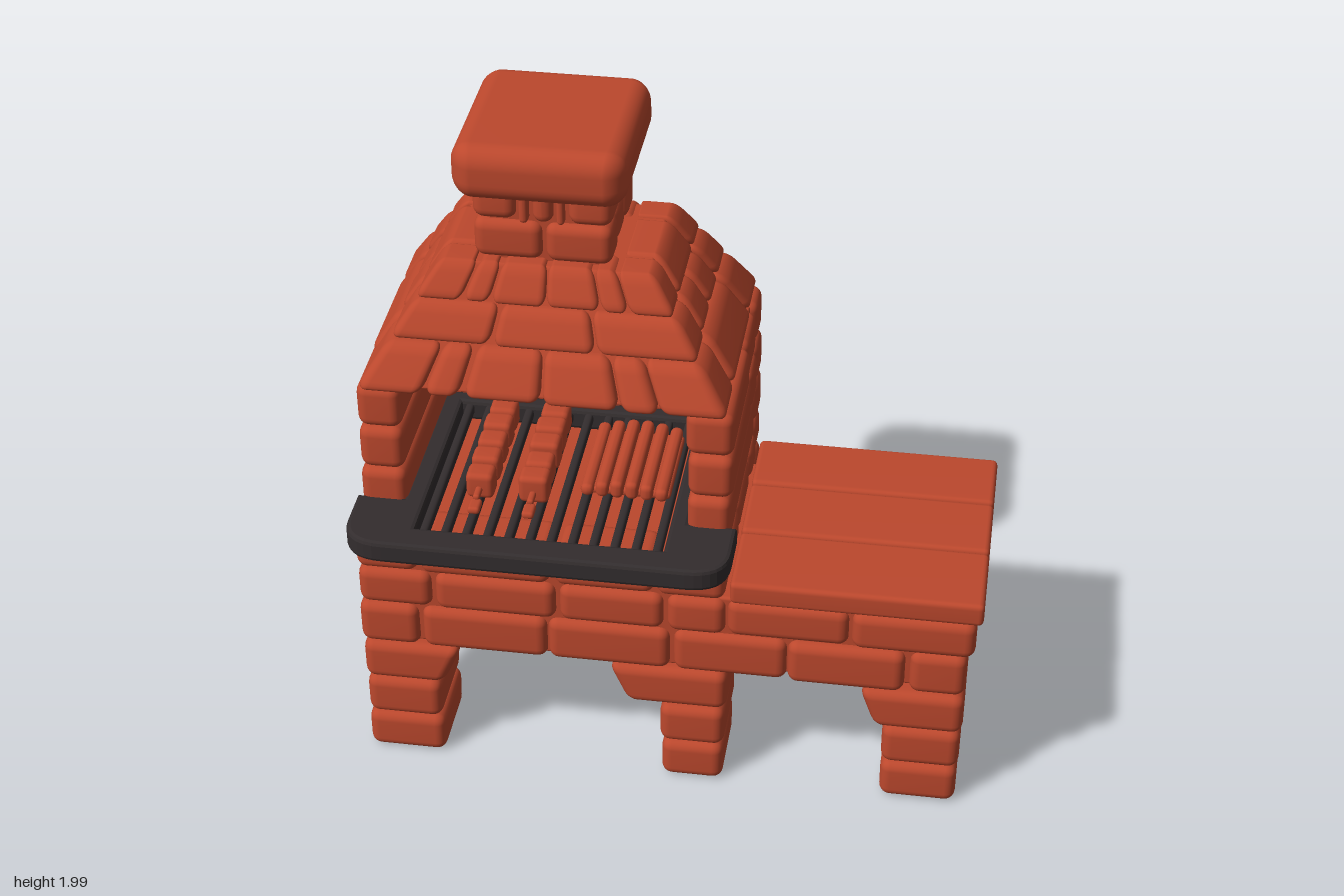
import * as THREE from 'three';
import { mergeGeometries, mergeVertices } from 'three/addons/utils/BufferGeometryUtils.js';
import { RoundedBoxGeometry } from 'three/addons/geometries/RoundedBoxGeometry.js';

const clay = new THREE.MeshStandardMaterial({ color: 0xbc482d });
clay.name = 'brick red';
const iron = new THREE.MeshStandardMaterial({ color: 0x332d2e });
iron.name = 'charcoal iron';

let seed = 7;
const rand = () => ((seed = (seed * 16807) % 2147483647) / 2147483647);

// One soft-edged block between two corners, optionally reshaped by warp(vector)
function block(x0, x1, y0, y1, z0, z1, r = 0.03, warp = null, segments = 2) {
  const w = x1 - x0, h = y1 - y0, d = z1 - z0;
  let g = new RoundedBoxGeometry(w, h, d, segments, Math.min(r, 0.48 * Math.min(w, h, d)));
  g.translate((x0 + x1) / 2, (y0 + y1) / 2, (z0 + z1) / 2);
  g.deleteAttribute('normal');
  g.deleteAttribute('uv');
  g.clearGroups();
  g = mergeVertices(g, 1e-4);
  if (warp) {
    const p = g.attributes.position, v = new THREE.Vector3();
    for (let i = 0; i < p.count; i++) {
      v.fromBufferAttribute(p, i);
      warp(v);
      p.setXYZ(i, v.x, v.y, v.z);
    }
  }
  g.computeVertexNormals();
  return g;
}

// A brick is a block with slightly uneven outer faces
function brick(x0, x1, y0, y1, z0, z1, warp) {
  const j = () => rand() * 0.008;
  return block(x0 + j(), x1 - j(), y0 + 0.001, y1 - 0.001, z0 + j(), z1 - j(), 0.032, warp, 3);
}
const runX = (cuts, y0, y1, z0, z1, warp) =>
  cuts.slice(1).map((x, i) => brick(cuts[i], x, y0, y1, z0, z1, warp));
const runZ = (cuts, y0, y1, x0, x1, warp) =>
  cuts.slice(1).map((z, i) => brick(x0, x1, y0, y1, cuts[i], z, warp));

// Joint positions from a to b; odd courses are shifted by half a brick
function joints(a, b, n, odd) {
  const w = (b - a) / n, out = [a];
  for (let i = odd ? 0.5 : 1; i < n; i++) out.push(a + i * w);
  return [...out, b];
}

// Closed rectangular course with alternating corners
function ring(x0, x1, z0, z1, y0, y1, t, odd, nx, nz, warp) {
  const ix = odd ? t : 0, iz = odd ? 0 : t;
  const xs = joints(x0 + ix, x1 - ix, nx, odd), zs = joints(z0 + iz, z1 - iz, nz, odd);
  return [
    ...runX(xs, y0, y1, z0, z0 + t, warp), ...runX(xs, y0, y1, z1 - t, z1, warp),
    ...runZ(zs, y0, y1, x0, x0 + t, warp), ...runZ(zs, y0, y1, x1 - t, x1, warp),
  ];
}

export function createModel() {
  const model = new THREE.Group();
  const add = (name, list, material = clay) => {
    const m = new THREE.Mesh(mergeGeometries(list), material);
    m.name = name;
    model.add(m);
  };
  const L = -0.92, R = 0.18, BACK = -0.46, FRONT = 0.4;

  // Rear wall from the ground up to the hood
  const rows = [0.005, 0.14, 0.28, 0.42, 0.57, 0.7, 0.82, 0.97, 1.115, 1.26];
  const rear = [];
  for (let i = 0; i < 9; i++) {
    const inner = i < 3 ? -0.13 : -0.32;
    rear.push(...runX(joints(L, R, 3, i % 2), rows[i], rows[i + 1], BACK, inner));
  }
  rear.push(block(L + 0.03, R - 0.03, 0.03, 1.25, BACK + 0.03, -0.34, 0.01));
  add('rearWall', rear);

  // Front courses, running on across the side table
  const front = [
    ...runX([L, -0.73, -0.35, 0.02, 0.36, 0.71, 0.89], 0.42, 0.57, 0.2, FRONT),
    ...runX([L, -0.69, -0.32, 0, 0.18, 0.54, 0.91], 0.57, 0.7, 0.2, FRONT),
    ...runX([L, -0.73, -0.33, -0.03, R], 0.7, 0.81, 0.2, FRONT),
  ];
  add('frontCourses', front);

  // Side courses and solid filling of the lower body
  const sides = [block(L + 0.03, R - 0.03, 0.43, 0.8, BACK + 0.03, FRONT - 0.03, 0.01)];
  for (let i = 3; i < 6; i++)
    for (const x of [L, R - 0.16])
      sides.push(...runZ(joints(-0.32, 0.2, 2, i % 2), rows[i], rows[i + 1], x, x + 0.16));
  add('lowerSides', sides);

  // Front legs with flared heads
  const legs = [];
  const flare = (sign) => (v) => {
    const k = Math.max(0, (v.y - 0.28) / 0.14);
    if (sign > 0 ? v.x > -0.75 : v.x < 0.05) v.x += sign * 0.06 * k;
    if (v.z < 0.25) v.z -= 0.05 * k;
  };
  const taper = (v) => { if (v.z < 0.25) v.z -= 0.13 * Math.max(0, v.y - 0.05); };
  for (const [x0, x1] of [[L, -0.68], [-0.02, R]])
    for (let i = 0; i < 2; i++)
      legs.push(brick(x0, x1, rows[i], rows[i + 1], 0.13, FRONT, taper));
  legs.push(brick(L, -0.67, 0.28, 0.42, 0.09, FRONT, flare(1)));
  legs.push(brick(-0.12, 0.19, 0.28, 0.42, 0.09, FRONT, flare(-1)));
  add('bodyLegs', legs);

  // Side table base: legs, end wall and back
  const table = [block(0.15, 0.87, 0.44, 0.7, -0.3, 0.37, 0.01)];
  for (const [z0, z1] of [[0.22, FRONT], [-0.33, -0.12]])
    for (let i = 0; i < 2; i++)
      table.push(brick(0.645, 0.88, rows[i], rows[i + 1], z0, z1));
  const haunch = (v) => { if (v.x < 0.75) v.x -= 0.05 * Math.max(0, (v.y - 0.28) / 0.14); };
  table.push(...runZ([-0.33, -0.12, 0.03, 0.22, FRONT], 0.28, 0.42, 0.62, 0.885, haunch));
  table.push(...runZ([-0.33, -0.15, 0.03, 0.2], 0.42, 0.57, 0.71, 0.89));
  table.push(...runZ([-0.33, -0.24, -0.02, 0.2], 0.57, 0.7, 0.72, 0.9));
  table.push(...runX([0.18, 0.36, 0.71], 0.42, 0.57, -0.33, -0.17));
  table.push(...runX([0.18, 0.54, 0.72], 0.57, 0.7, -0.33, -0.17));
  add('tableBase', table);

  // Three table top planks
  const planks = [[-0.33, -0.1], [-0.1, 0.14], [0.14, 0.4]].map(([a, b]) =>
    block(0.19, 0.92, 0.7, 0.775, a + 0.002, b - 0.002, 0.016));
  add('tableTop', planks);

  // Firebox side walls
  const cheeks = [];
  const cheekCuts = [[-0.32, 0.27], [-0.32, -0.17, 0.27], [-0.32, -0.12, 0.27]];
  for (const x of [L, R - 0.14]) {
    cheekCuts.forEach((c, i) =>
      cheeks.push(...runZ(c, i ? rows[6 + i] : 0.8, rows[7 + i], x, x + 0.14)));
    cheeks.push(block(x + 0.03, x + 0.11, 0.8, 1.25, -0.4, 0.23, 0.01));
  }
  add('fireboxSides', cheeks);

  // Sloped hood, each course leaning towards the chimney
  const cx = -0.37, cz = -0.088;
  const lean = (v) => {
    const k = (v.y - 1.26) / 0.36;
    v.x = cx + (v.x - cx) * (1 - 0.44 * k);
    v.z = cz + (v.z - cz) * (1 - 0.47 * k);
  };
  const hood = [block(cx - 0.5, cx + 0.5, 1.265, 1.61, cz - 0.35, cz + 0.35, 0.01, lean)];
  [1.26, 1.4, 1.51, 1.62].forEach((y, i, ys) => {
    if (i < 3) hood.push(...ring(cx - 0.545, cx + 0.545, cz - 0.392, cz + 0.392,
      y, ys[i + 1], 0.2, i % 2 === 0, 3, 2, lean));
  });
  add('hood', hood);

  // Chimney stack and cap
  const stack = [block(-0.55, -0.22, 1.6, 1.86, -0.26, 0.07, 0.01)];
  [1.615, 1.74, 1.85].forEach((y, i, ys) => {
    if (i < 2) stack.push(...ring(-0.585, -0.185, -0.29, 0.1, y, ys[i + 1], 0.13, i % 2, 2, 1));
  });
  add('chimney', stack);
  const round = (v) => {
    const u = (v.x + 0.383) / 0.255, w = (v.z + 0.09) / 0.27;
    v.x -= 0.018 * u * w * w;
    v.z -= 0.018 * w * u * u;
  };
  add('chimneyCap', [block(-0.64, -0.126, 1.835, 2, -0.362, 0.182, 0.06, round, 5)]);

  // Iron grill tray: wide front ledge, narrower inside the firebox, with a slot for the bars
  const b = 0.012, tray = new THREE.Shape();
  const outline = [[-0.78, 0.3], [-0.78, -0.265], [L, -0.265], [L, -0.37]];
  outline.forEach(([x, y], i) => (i ? tray.lineTo(x, y) : tray.moveTo(x, y)));
  tray.quadraticCurveTo(L, -0.468, -0.81, -0.468);
  tray.lineTo(0.07, -0.468);
  tray.quadraticCurveTo(R, -0.468, R, -0.37);
  tray.lineTo(R, -0.265);
  tray.lineTo(0.04, -0.265);
  tray.lineTo(0.04, 0.3);
  tray.closePath();
  const slot = new THREE.Path();
  slot.moveTo(-0.74, 0.27);
  slot.lineTo(0.01, 0.27);
  slot.lineTo(0.01, -0.4);
  slot.lineTo(-0.74, -0.4);
  slot.closePath();
  tray.holes.push(slot);
  const trayGeo = new THREE.ExtrudeGeometry(tray, {
    depth: 0.07 - 2 * b, bevelThickness: b, bevelSize: b, bevelSegments: 2, curveSegments: 8,
  });
  trayGeo.rotateX(-Math.PI / 2).translate(0, 0.8 + b, 0);
  add('grillTray', [trayGeo], iron);
  const bars = [];
  for (let i = 0; i < 12; i++) {
    const x = -0.705 + i * 0.062;
    bars.push(block(x - 0.013, x + 0.013, 0.825, 0.86, -0.28, 0.41, 0.01));
  }
  add('grillBars', bars, iron);

  // Two skewers with chunks
  const skewers = [];
  for (const x of [-0.575, -0.415]) {
    skewers.push(block(x - 0.01, x + 0.01, 0.885, 0.905, -0.24, 0.26, 0.008));
    skewers.push(block(x - 0.018, x + 0.018, 0.868, 0.892, 0.25, 0.305, 0.01));
    for (let i = 0; i < 5; i++) {
      const z = -0.2 + i * 0.085, s = 0.038 + rand() * 0.008;
      skewers.push(block(x - s, x + s, 0.858, 0.86 + 2 * s, z, z + 0.075, 0.018));
    }
  }
  add('skewers', skewers);

  // Rack of ribs
  const ribs = [block(-0.29, -0.02, 0.858, 0.885, -0.16, 0.14, 0.012)];
  for (let i = 0; i < 6; i++) {
    const x = -0.285 + i * 0.044;
    ribs.push(block(x, x + 0.038, 0.86, 0.9 + 0.02 * Math.sin(i * 0.6), -0.18, 0.16, 0.017));
  }
  add('ribs', ribs);

  return model;
}
